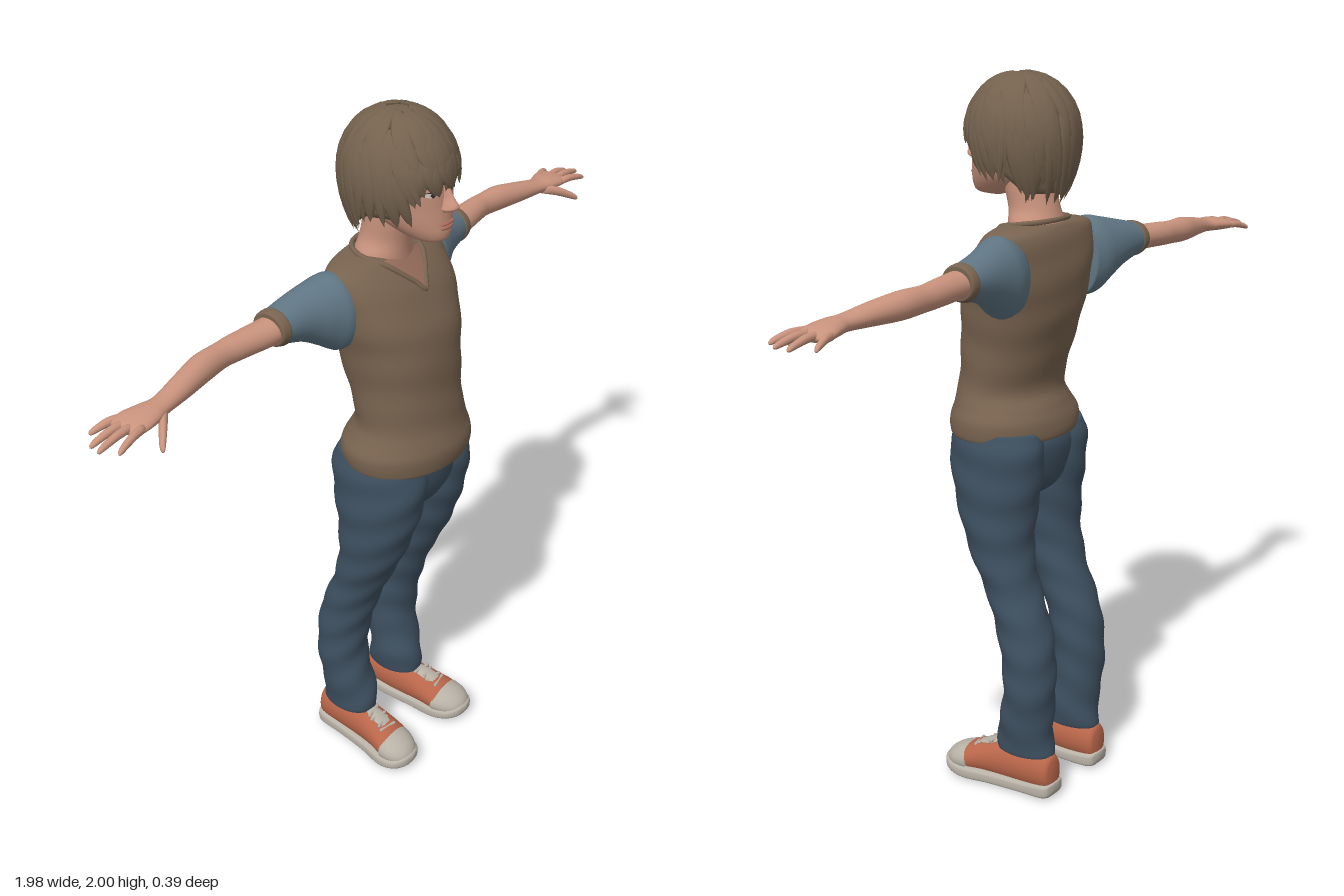
import * as THREE from 'three';
import { ParametricGeometry } from 'three/addons/geometries/ParametricGeometry.js';

const mat = (name, color, side = THREE.FrontSide) => {
  const m = new THREE.MeshStandardMaterial({ color, side });
  m.name = name;
  return m;
};
const V3 = (x, y, z) => new THREE.Vector3(x, y, z);
const AXES = {
  x: [V3(0, 1, 0), V3(0, 0, 1)],
  y: [V3(1, 0, 0), V3(0, 0, -1)],
  z: [V3(1, 0, 0), V3(0, 1, 0)],
};

// Closed smooth skin over a list of point loops
function skinLoops(loops) {
  const n = loops[0].length, m = loops.length, pos = [], idx = [];
  loops.forEach(l => l.forEach(p => pos.push(p.x, p.y, p.z)));
  for (const l of [loops[0], loops[m - 1]]) {
    const c = l.reduce((s, p) => s.add(p), V3(0, 0, 0)).divideScalar(n);
    pos.push(c.x, c.y, c.z);
  }
  for (let j = 0; j < n; j++) {
    const k = (j + 1) % n, top = (m - 1) * n;
    for (let i = 0; i < m - 1; i++) {
      const a = i * n + j, b = i * n + k;
      idx.push(a, b, a + n, b, b + n, a + n);
    }
    idx.push(m * n, k, j, m * n + 1, top + j, top + k);
  }
  const g = new THREE.BufferGeometry();
  g.setAttribute('position', new THREE.Float32BufferAttribute(pos, 3));
  g.setIndex(idx);
  g.computeVertexNormals();
  return g;
}

// Smoothly interpolates rings [x, y, z, radiusU, radiusV, roundness]
function sample(rings, count) {
  const c = new THREE.CatmullRomCurve3(rings.map(r => V3(r[0], r[1], r[2])), false, 'catmullrom');
  const s = new THREE.CatmullRomCurve3(rings.map(r => V3(r[3], r[4], r[5] ?? 2)), false, 'catmullrom');
  return Array.from({ length: count + 1 }, (_, i) => {
    const r = s.getPoint(i / count);
    return { c: c.getPoint(i / count), u: Math.max(r.x, 0.0008), v: Math.max(r.y, 0.0008), p: r.z };
  });
}

function loft(rings, axis = 'y', sides = 32, steps = 5, fold = 0) {
  const [U, V] = AXES[axis];
  const pw = (t, p) => Math.sign(t) * Math.abs(t) ** (2 / p);
  return skinLoops(sample(rings, (rings.length - 1) * steps).map(({ c, u, v, p }) =>
    Array.from({ length: sides }, (_, j) => {
      const a = j / sides * Math.PI * 2, w = fold * Math.sin(c.y * 55 + 3 * Math.sin(a + 1));
      return c.clone().addScaledVector(U, (u + w) * pw(Math.cos(a), p))
        .addScaledVector(V, (v + w) * pw(Math.sin(a), p));
    })));
}

// Front height of an upright loft, and thin patches laid on it
function frontZ(samples, x, y) {
  let best = -1;
  for (let i = 0; i < samples.length - 1; i++) {
    const { c, u, v, p } = samples[i];
    if ((c.y - y) * (samples[i + 1].c.y - y) <= 0 && Math.abs(x) < u)
      best = Math.max(best, c.z + v * (1 - Math.abs(x / u) ** p) ** (1 / p));
  }
  return best;
}
const patch = (samples, lift, f) => new ParametricGeometry((u, v, t) => {
  const [x, y] = f(u, v);
  t.set(x, y, frontZ(samples, x, y) + lift);
}, 14, 10);
const almond = (x, y, w, h) => (u, v) => [x + (u - 0.5) * w, y + (v - 0.5) * h * (0.05 + Math.sin(Math.PI * u))];

function mirrored(g) {
  const m = g.clone().scale(-1, 1, 1), a = m.index.array;
  for (let i = 0; i < a.length; i += 3) [a[i], a[i + 1]] = [a[i + 1], a[i]];
  m.computeVertexNormals();
  return m;
}

const TORSO = [
  [0, 1.07, 0.03, 0.15, 0.12], [0, 1.035, 0.033, 0.188, 0.152], [0, 1.05, 0.033, 0.199, 0.161],
  [0, 1.085, 0.035, 0.198, 0.16], [0, 1.12, 0.04, 0.18, 0.147], [0, 1.16, 0.045, 0.166, 0.132],
  [0, 1.22, 0.035, 0.163, 0.132, 2.1], [0, 1.3, 0.02, 0.168, 0.14, 2.2], [0, 1.38, 0.006, 0.18, 0.148, 2.2],
  [0, 1.45, -0.008, 0.194, 0.142, 2.3], [0, 1.52, -0.025, 0.202, 0.122, 2.4], [0, 1.57, -0.04, 0.201, 0.098, 2.4],
  [0, 1.6, -0.05, 0.188, 0.075, 2.3], [0, 1.614, -0.05, 0.11, 0.062], [0, 1.61, -0.045, 0.05, 0.04]];
const HEAD = [
  [0, 1.671, 0.1, 0.008, 0.02], [0, 1.68, 0.1, 0.04, 0.05], [0, 1.7, 0.075, 0.063, 0.084],
  [0, 1.73, 0.05, 0.083, 0.108], [0, 1.77, 0.035, 0.096, 0.12], [0, 1.81, 0.03, 0.102, 0.122, 2.1],
  [0, 1.85, 0.022, 0.104, 0.128], [0, 1.9, 0.015, 0.098, 0.12], [0, 1.94, 0.015, 0.065, 0.075], [0, 1.965, 0.015, 0.01, 0.01]];
const LEG = [
  [0.112, 0.15, -0.09, 0.045, 0.065], [0.112, 0.125, -0.09, 0.06, 0.088], [0.113, 0.2, -0.09, 0.069, 0.082],
  [0.12, 0.3, -0.107, 0.073, 0.074], [0.119, 0.4, -0.105, 0.075, 0.076], [0.116, 0.5, -0.085, 0.075, 0.08],
  [0.112, 0.6, -0.047, 0.078, 0.078], [0.112, 0.7, -0.01, 0.085, 0.09], [0.107, 0.8, 0.01, 0.095, 0.11],
  [0.102, 0.9, 0.017, 0.102, 0.132], [0.1, 1.0, 0.018, 0.1, 0.144], [0.1, 1.06, 0.018, 0.09, 0.125]];
const SLEEVE = [
  [0.15, 1.49, -0.062, 0.1, 0.07], [0.195, 1.495, -0.062, 0.108, 0.083], [0.24, 1.505, -0.072, 0.09, 0.074],
  [0.3, 1.515, -0.085, 0.066, 0.06], [0.385, 1.518, -0.092, 0.043, 0.049]];
const CUFF = [[0.365, 1.517, -0.091, 0.046, 0.05], [0.372, 1.517, -0.091, 0.05, 0.054],
  [0.39, 1.518, -0.092, 0.046, 0.052], [0.396, 1.518, -0.092, 0.042, 0.047]];
const ARM = [
  [0.33, 1.52, -0.09, 0.036, 0.042], [0.4, 1.515, -0.092, 0.035, 0.042], [0.5, 1.512, -0.106, 0.034, 0.035],
  [0.55, 1.51, -0.11, 0.033, 0.031], [0.62, 1.508, -0.106, 0.035, 0.035], [0.7, 1.502, -0.092, 0.029, 0.033],
  [0.78, 1.495, -0.08, 0.021, 0.03], [0.82, 1.493, -0.08, 0.021, 0.04], [0.86, 1.49, -0.084, 0.019, 0.049],
  [0.89, 1.486, -0.086, 0.014, 0.047], [0.9, 1.485, -0.086, 0.004, 0.03]];
const FINGERS = [ // base and tip
  [0.87, 1.49, -0.047, 0.965, 1.476, -0.028], [0.88, 1.49, -0.072, 0.99, 1.477, -0.068],
  [0.88, 1.489, -0.097, 0.982, 1.474, -0.102], [0.865, 1.488, -0.122, 0.942, 1.472, -0.147],
  [0.79, 1.487, -0.062, 0.872, 1.45, 0.01]];
const SOLE = [
  [0.112, 0.035, -0.196, 0.015, 0.012, 3], [0.112, 0.026, -0.18, 0.043, 0.022, 4], [0.113, 0.02, -0.1, 0.05, 0.02, 4],
  [0.122, 0.02, 0, 0.057, 0.02, 4], [0.132, 0.022, 0.08, 0.068, 0.021, 4], [0.136, 0.028, 0.13, 0.06, 0.021, 3],
  [0.137, 0.035, 0.157, 0.035, 0.018, 3], [0.137, 0.038, 0.166, 0.008, 0.008, 2]];
const UPPER = [
  [0.112, 0.065, -0.19, 0.015, 0.03], [0.112, 0.075, -0.175, 0.04, 0.056], [0.113, 0.075, -0.1, 0.047, 0.062],
  [0.117, 0.073, -0.03, 0.05, 0.062], [0.123, 0.067, 0.03, 0.055, 0.053], [0.13, 0.055, 0.085, 0.061, 0.044], [0.131, 0.05, 0.1, 0.05, 0.03]];
const TOE = [
  [0.129, 0.052, 0.072, 0.058, 0.042], [0.131, 0.052, 0.085, 0.064, 0.045], [0.135, 0.048, 0.12, 0.057, 0.039],
  [0.137, 0.043, 0.148, 0.038, 0.026], [0.137, 0.04, 0.162, 0.01, 0.008]];

// Hair surface by compass angle and angle down from the crown
function hairPoint(f, t, lift = 0) {
  const d = t - Math.PI / 2, k = d < 0 ? Math.sin(t) : 1 - 0.3 * d * d;
  const y = d < 0 ? 1.835 + (0.157 + lift) * Math.cos(t) : 1.835 - 0.16 * d;
  return V3(Math.sin(f) * (0.136 + lift) * k, y, 0.006 + Math.cos(f) * (0.152 + lift) * k);
}
function hairEdge(f) {
  const a = Math.abs(Math.atan2(Math.sin(f), Math.cos(f))) / Math.PI, s = THREE.MathUtils.smoothstep;
  return Math.PI / 2 + 0.02 + 0.5 * s(a, 0.22, 0.36) + 0.36 * s(a, 0.5, 0.75);
}
function hairLock(f, t0, t1, width, twist, flick) {
  const loops = Array.from({ length: 9 }, (_, i) => {
    const s = i / 8, t = t0 + (t1 - t0) * s, a = f + twist * s * s, q = Math.min(t, Math.PI / 2);
    const c = hairPoint(a, t, 0.002 + flick * s ** 4);
    const S = V3(Math.cos(a), 0, -Math.sin(a));
    const N = V3(Math.sin(a) * Math.sin(q), Math.cos(q), Math.cos(a) * Math.sin(q));
    const w = Math.max(0.001, Math.sin(Math.PI * (0.12 + 0.88 * s)) ** 0.7);
    return Array.from({ length: 8 }, (_, j) => {
      const b = j / 8 * Math.PI * 2;
      return c.clone().addScaledVector(S, width * w * Math.cos(b)).addScaledVector(N, 0.008 * w * Math.sin(b));
    });
  });
  return skinLoops(loops);
}

export function createModel() {
  const M = {
    skin: mat('skin', 0xc9937d), lips: mat('lips', 0xa86a5c), eyeWhite: mat('eye white', 0xd8d0c8, THREE.DoubleSide),
    dark: mat('dark iris', 0x3a2c26), hair: mat('brown hair', 0x74624e, THREE.DoubleSide), vest: mat('brown vest', 0x78634f),
    sleeve: mat('grey blue sleeve', 0x607684), jeans: mat('denim', 0x3e5060), canvas: mat('orange canvas', 0xb9664a),
    rubber: mat('pale rubber', 0xb8b1a6),
  };
  const model = new THREE.Group();
  model.name = 'figure';
  const add = (name, g, m) => {
    const mesh = new THREE.Mesh(g, m);
    mesh.name = name;
    model.add(mesh);
  };
  const pair = (name, g, m) => {
    add(name + 'Left', g, m);
    add(name + 'Right', mirrored(g), m);
  };

  // Vest with V neck
  const torso = sample(TORSO, 600), head = sample(HEAD, 600);
  add('vest', loft(TORSO, 'y', 56, 5, 0.0015), M.vest);
  const vWidth = y => (y - 1.53) * 1.05;
  add('neckOpening', patch(torso, 0.003, (u, v) => {
    const y = 1.53 + 0.079 * v;
    return [(u * 2 - 1) * vWidth(y), y];
  }), M.skin);
  const edge = [1.6, 1.575, 1.55].map(y => V3(vWidth(y), y, frontZ(torso, vWidth(y), y) + 0.002));
  const collar = [V3(0, 1.528, frontZ(torso, 0, 1.528) + 0.002), ...edge.slice().reverse(), V3(0.092, 1.615, -0.045),
    V3(0.065, 1.622, -0.095), V3(0, 1.624, -0.113), V3(-0.065, 1.622, -0.095), V3(-0.092, 1.615, -0.045),
    ...edge.map(p => V3(-p.x, p.y, p.z))];
  add('collar', new THREE.TubeGeometry(new THREE.CatmullRomCurve3(collar, true), 80, 0.007, 8, true), M.vest);

  // Arms and hands
  pair('sleeve', loft(SLEEVE, 'x'), M.sleeve);
  pair('cuff', loft(CUFF, 'x'), M.vest);
  pair('arm', loft(ARM, 'x', 24), M.skin);
  FINGERS.forEach(([x, y, z, X, Y, Z], i) => {
    const at = (s, r) => [x + (X - x) * s, y + (Y - y) * s + 0.006 * Math.sin(Math.PI * s), z + (Z - z) * s, r, r];
    const r = i === 4 ? 0.014 : 0.0105;
    pair(i === 4 ? 'thumb' : 'finger', loft([at(0, r), at(0.4, r), at(0.8, r * 0.8), at(0.95, r * 0.55), at(1, 0.001)], 'x', 12, 3), M.skin);
  });

  // Jeans
  pair('trouserLeg', loft(LEG, 'y', 36, 6, 0.0025), M.jeans);
  add('trouserSeat', loft([[0, 0.85, 0.01, 0.02, 0.05], [0, 0.89, 0.012, 0.1, 0.105], [0, 0.95, 0.018, 0.175, 0.132],
    [0, 1.02, 0.02, 0.19, 0.14], [0, 1.07, 0.03, 0.16, 0.12]], 'y', 40), M.jeans);

  // Shoes
  pair('sole', loft(SOLE, 'z', 32), M.rubber);
  pair('shoeUpper', loft(UPPER, 'z', 32), M.canvas);
  pair('toeCap', loft(TOE, 'z', 32), M.rubber);
  pair('tongue', loft([[0.118, 0.115, -0.03, 0.02, 0.018], [0.121, 0.118, 0.01, 0.024, 0.012],
    [0.126, 0.104, 0.055, 0.024, 0.008], [0.13, 0.09, 0.085, 0.02, 0.006]], 'z', 16), M.rubber);
  for (let i = 0; i < 4; i++)
    pair('lace', new THREE.CapsuleGeometry(0.005, 0.05, 4, 8).rotateZ(Math.PI / 2).rotateY(i % 2 ? 0.2 : -0.2)
      .translate(0.121 + 0.003 * i, 0.127 - 0.008 * i, 0.005 + 0.02 * i), M.rubber);

  // Neck, head and face
  add('neck', loft([[0, 1.56, -0.045, 0.09, 0.075], [0, 1.61, -0.04, 0.083, 0.072], [0, 1.65, -0.032, 0.067, 0.07],
    [0, 1.7, -0.02, 0.065, 0.072], [0, 1.76, -0.01, 0.065, 0.075]]), M.skin);
  add('head', loft(HEAD, 'y', 48), M.skin);
  add('nose', loft([[0, 1.757, 0.15, 0.01, 0.008], [0, 1.767, 0.158, 0.02, 0.024], [0, 1.778, 0.16, 0.017, 0.029],
    [0, 1.8, 0.152, 0.01, 0.022], [0, 1.835, 0.143, 0.008, 0.012]], 'y', 20), M.skin);
  add('lowerLip', new THREE.SphereGeometry(1, 20, 12).scale(0.024, 0.006, 0.009).translate(0, 1.718, 0.156), M.lips);
  add('upperLip', new THREE.SphereGeometry(1, 20, 12).scale(0.029, 0.005, 0.009).translate(0, 1.729, 0.156), M.lips);
  pair('ear', new THREE.SphereGeometry(1, 16, 12).scale(0.014, 0.034, 0.022).rotateZ(-0.2).translate(0.105, 1.782, 0), M.skin);
  for (const s of [1, -1]) {
    add('eye', patch(head, 0.002, almond(s * 0.044, 1.812, 0.038, 0.015)), M.eyeWhite);
    add('iris', patch(head, 0.004, almond(s * 0.044, 1.812, 0.014, 0.014)), M.dark);
    add('upperLid', patch(head, 0.005, almond(s * 0.044, 1.8195, 0.04, 0.004)), M.dark);
    add('brow', patch(head, 0.004, almond(s * 0.046, 1.834, 0.05, 0.008)), M.hair);
  }

  // Hair cap with overlapping locks
  add('hairCap', skinLoops(Array.from({ length: 25 }, (_, i) => Array.from({ length: 96 }, (_, j) => {
    const f = j / 96 * Math.PI * 2, t = hairEdge(f) * (1 - i / 24 * 0.995);
    return hairPoint(f, t, 0.003 * Math.sin(f * 18 + t * 4) * Math.min(1, t));
  }))), M.hair);
  let seed = 7;
  const rnd = () => (seed = (seed * 16807) % 2147483647) / 2147483647;
  for (const [count, start, reach, width] of [[22, 0.12, 0.72, 0.026], [30, 0.55, 0.9, 0.024], [46, 1.0, 1.04, 0.019]])
    for (let i = 0; i < count; i++) {
      const f = (i + rnd() * 0.7) / count * Math.PI * 2, side = Math.abs(Math.sin(f / 2));
      add('hairLock', hairLock(f, start + rnd() * 0.2, hairEdge(f) * reach + rnd() * 0.12, width * (0.75 + rnd() * 0.5),
        (rnd() - 0.35) * 0.5, reach > 1 ? rnd() * 0.022 * side : rnd() * 0.006), M.hair);
    }
  return model;
}
